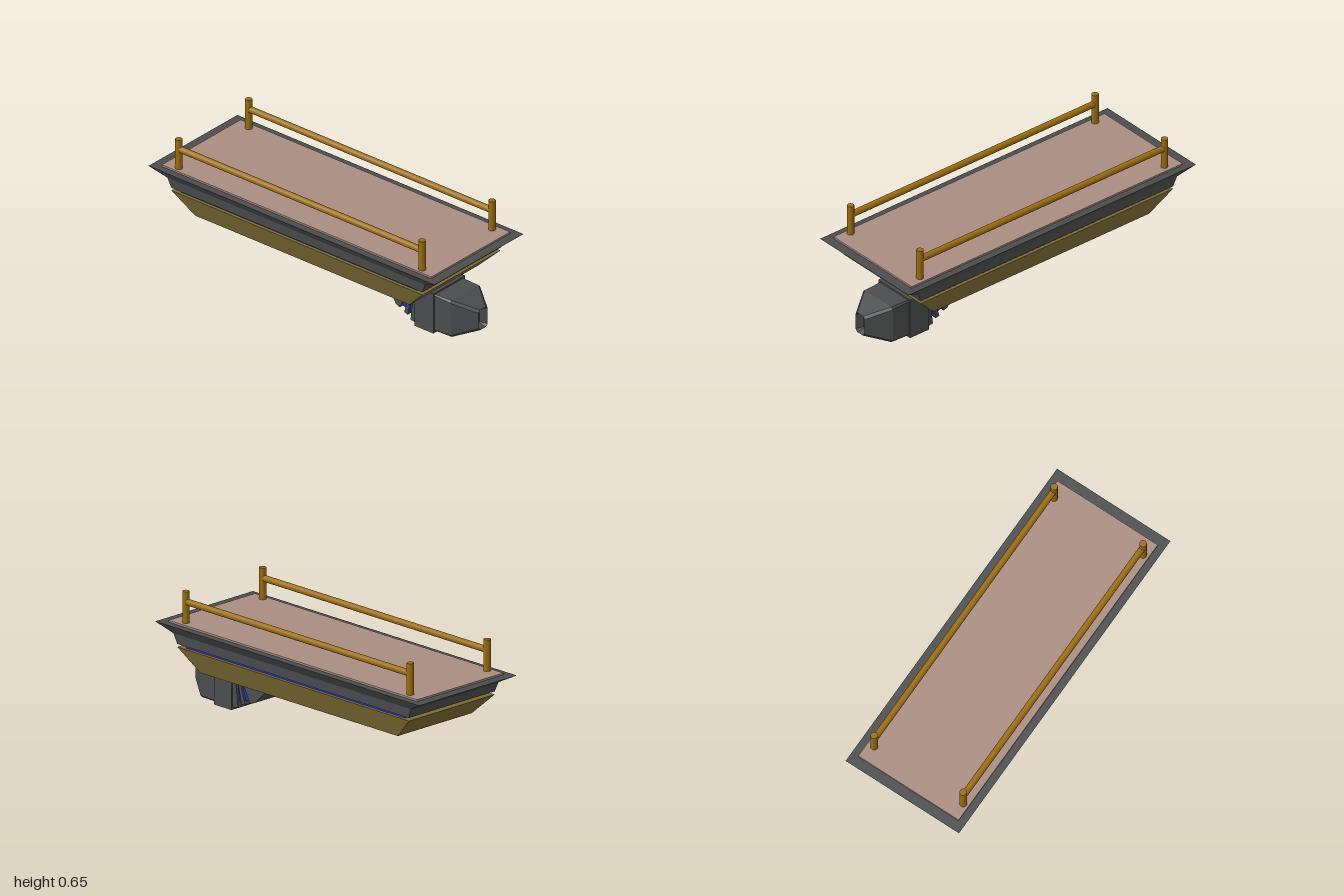
import * as THREE from 'three';

const material = (color) => new THREE.MeshStandardMaterial({ color, flatShading: true });
const DARK = material(0x4a4c4d);
const BLUE = material(0x2030d0);
const OLIVE = material(0x7d6a33);
const DECK = material(0xa88c80);
const BRASS = new THREE.MeshStandardMaterial({ color: 0x9a6c10 });

const CX = -0.015; // middle of the platform along x

// Closed skin through rings of points, each ring counter-clockwise seen from the far end
function loft(rings) {
  const out = [];
  const tri = (a, b, c) => out.push(...a, ...b, ...c);
  const n = rings[0].length;
  for (let r = 0; r + 1 < rings.length; r++) {
    for (let i = 0; i < n; i++) {
      const j = (i + 1) % n;
      const a = rings[r], b = rings[r + 1];
      tri(a[i], a[j], b[j]);
      tri(a[i], b[j], b[i]);
    }
  }
  const first = rings[0], last = rings[rings.length - 1];
  for (let i = 1; i + 1 < n; i++) {
    tri(first[0], first[i + 1], first[i]);
    tri(last[0], last[i], last[i + 1]);
  }
  const geometry = new THREE.BufferGeometry();
  geometry.setAttribute('position', new THREE.Float32BufferAttribute(out, 3));
  geometry.computeVertexNormals();
  return geometry;
}

// Horizontal rectangle at height y
const level = (y, hx, hz) =>
  [[-1, 1], [1, 1], [1, -1], [-1, -1]].map(([sx, sz]) => [CX + sx * hx, y, sz * hz]);

// Upright, possibly leaning, rectangle with cut corners: bottom point, top point, half width, cut
function section(xb, yb, xt, yt, w, cut = 0) {
  const h = yt - yb;
  const at = (y, z) => [xb + ((xt - xb) * y) / h, yb + y, z];
  if (!cut) return [at(0, w), at(0, -w), at(h, -w), at(h, w)];
  return [
    at(0, w - cut), at(0, cut - w), at(cut, -w), at(h - cut, -w),
    at(h, cut - w), at(h, w - cut), at(h - cut, w), at(cut, w),
  ];
}

export function createModel() {
  const model = new THREE.Group();
  const add = (name, geometry, mat, parent = model) => {
    const mesh = new THREE.Mesh(geometry, mat);
    mesh.name = name;
    parent.add(mesh);
    return mesh;
  };

  // Platform, from the bottom up
  add('hull', loft([level(0.218, 0.738, 0.272), level(0.341, 0.865, 0.315)]), OLIVE);
  add('glowBand', loft([level(0.335, 0.815, 0.296), level(0.362, 0.815, 0.296)]), BLUE);
  add('rim', loft([
    level(0.358, 0.865, 0.316), level(0.413, 0.887, 0.322), level(0.464, 0.985, 0.359),
  ]), DARK);
  add('deck', loft([level(0.46, 0.928, 0.318), level(0.474, 0.928, 0.318)]), DECK);

  // Side railings: two posts and a bar each
  for (const z of [0.286, -0.278]) {
    const railing = new THREE.Group();
    railing.name = z > 0 ? 'frontRailing' : 'backRailing';
    model.add(railing);
    for (const x of [-0.853, 0.823]) {
      add('post', new THREE.CylinderGeometry(0.0195, 0.0195, 0.186, 20), BRASS, railing)
        .position.set(x, 0.555, z);
    }
    const bar = add('bar', new THREE.CylinderGeometry(0.018, 0.018, 1.676, 20), BRASS, railing);
    bar.rotation.z = Math.PI / 2;
    bar.position.set(CX, 0.589, z);
  }

  // Thruster slung below the left end
  const thruster = new THREE.Group();
  thruster.name = 'thruster';
  model.add(thruster);
  const top = 0.226;

  add('arm', loft([
    section(0.35, 0.214, 0.35, top, 0.07),
    section(0.487, 0.068, 0.58, top, 0.105),
    section(0.517, 0.06, 0.605, top, 0.11),
  ]), DARK, thruster);

  // Bent joint: inset blue core with dark fins fanning out
  add('jointCore', loft([
    section(0.515, 0.078, 0.6, top - 0.006, 0.1),
    section(0.57, 0.055, 0.616, top - 0.006, 0.1),
    section(0.62, 0.04, 0.635, top - 0.006, 0.1),
  ]), BLUE, thruster);
  add('jointFin', loft([
    section(0.55, 0.045, 0.609, top, 0.112),
    section(0.575, 0.038, 0.617, top, 0.114),
  ]), DARK, thruster);
  add('jointCollar', loft([
    section(0.598, 0.018, 0.624, top, 0.117),
    section(0.64, 0.014, 0.64, top, 0.12),
  ]), DARK, thruster);

  add('engineBlock', loft([
    section(0.635, 0, 0.635, 0.238, 0.129),
    section(0.765, 0, 0.765, 0.238, 0.129),
  ]), DARK, thruster);

  // Tapered nozzle ending in a recessed mouth
  add('nozzle', loft([
    section(0.76, 0.011, 0.76, 0.229, 0.12, 0.006),
    section(0.875, 0.011, 0.875, 0.229, 0.12, 0.012),
    section(0.998, 0.06, 0.998, 0.18, 0.037, 0.014),
    section(0.96, 0.076, 0.96, 0.164, 0.017, 0.004),
  ]), DARK, thruster);

  return model;
}
